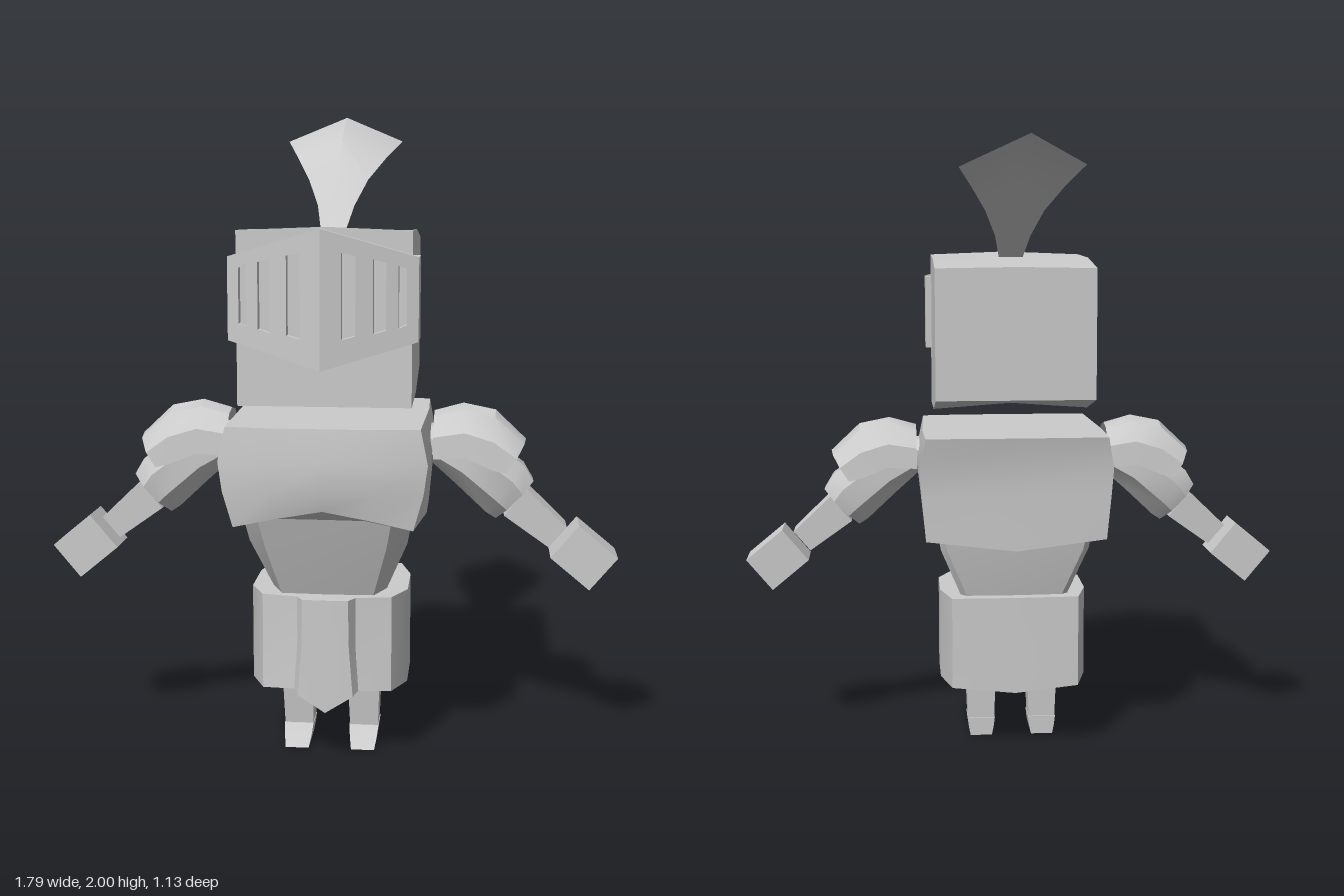
import * as THREE from 'three';
import { toCreasedNormals } from 'three/addons/utils/BufferGeometryUtils.js';

const material = new THREE.MeshStandardMaterial({ color: 0xcccccc, side: THREE.DoubleSide });

function mesh(geometry, name) {
  const m = new THREE.Mesh(toCreasedNormals(geometry, 0.5), material);
  m.name = name;
  return m;
}

// Skin a list of equal-length cross-sections; closed sections get end caps.
function loft(rings, name, closed = true) {
  const n = rings[0].length;
  const pos = rings.flat(2);
  const idx = [];
  for (let i = 0; i < rings.length - 1; i++) {
    for (let j = 0; j < (closed ? n : n - 1); j++) {
      const k = (j + 1) % n;
      const a = i * n + j, b = i * n + k, c = a + n, d = b + n;
      idx.push(c, d, b, c, b, a);
    }
  }
  if (closed) {
    [0, rings.length - 1].forEach((r, end) => {
      const mid = pos.length / 3;
      for (let q = 0; q < 3; q++) pos.push(rings[r].reduce((s, p) => s + p[q], 0) / n);
      for (let j = 0; j < n; j++) {
        const a = r * n + j, b = r * n + (j + 1) % n;
        if (end) idx.push(mid, b, a); else idx.push(mid, a, b);
      }
    });
  }
  const g = new THREE.BufferGeometry();
  g.setAttribute('position', new THREE.Float32BufferAttribute(pos, 3));
  g.setIndex(idx);
  return mesh(g, name);
}

// Complete a cross-section given from front centre, round the left side, to back centre.
function sym(half) {
  const other = half.slice(1, -1).reverse().map(([x, y, z]) => [-x, y, z]);
  return [...half, ...other];
}

// The same section drawn in towards its middle and moved to height y.
const inset = (half, s, y) => half.map(([x, , z]) => [x * s, y, 0.2 + (z - 0.2) * s]);

// Limb section between an upper and a lower point, with half depth d.
const ARM_Z = 0.19;
function limbRing(top, bottom, d, n) {
  const k = 1 / Math.cos(Math.PI / n);
  return Array.from({ length: n }, (_, i) => {
    const t = (i + 0.5) / n * Math.PI * 2;
    const u = (1 - Math.cos(t) * k) / 2;
    return [top[0] + (bottom[0] - top[0]) * u, top[1] + (bottom[1] - top[1]) * u, ARM_Z - Math.sin(t) * k * d];
  });
}

function createArm() {
  const arm = new THREE.Group();
  arm.add(loft([
    limbRing([0.31, 1.04], [0.31, 0.93], 0.08, 8),
    limbRing([0.46, 1.02], [0.39, 0.86], 0.1, 8),
    limbRing([0.6, 0.92], [0.485, 0.77], 0.085, 8),
    limbRing([0.63, 0.87], [0.515, 0.75], 0.07, 8),
  ], 'upperArm'));
  arm.add(loft([
    limbRing([0.61, 0.85], [0.54, 0.765], 0.058, 4),
    limbRing([0.735, 0.73], [0.68, 0.665], 0.05, 4),
  ], 'forearm'));
  const hand = mesh(new THREE.BoxGeometry(0.158, 0.135, 0.135), 'hand');
  hand.position.set(0.79, 0.637, ARM_Z);
  hand.rotation.z = -0.69;
  arm.add(hand);

  // Shoulder guard: an arched shell carried outwards and down
  const arch = [[0.12, 0], [0.115, 0.5], [0.06, 0.9], [0, 1], [-0.06, 0.9], [-0.115, 0.5], [-0.12, 0]];
  const stations = [
    [0.32, 1.085, 0.32, 0.95], [0.41, 1.11, 0.42, 0.955],
    [0.51, 1.09, 0.5, 0.92], [0.605, 1.0, 0.545, 0.91],
  ];
  arm.add(loft(stations.map(([tx, ty, bx, by]) =>
    arch.map(([z, u]) => [bx + (tx - bx) * u, by + (ty - by) * u, ARM_Z + z])), 'shoulderGuard', false));
  return arm;
}

function createLeg() {
  const section = (y, x0, x1, z0, z1) => [[x0, y, z1], [x1, y, z1], [x1, y, z0], [x0, y, z0]];
  const leg = new THREE.Group();
  leg.add(loft([section(0.2, 0.055, 0.155, 0.14, 0.25), section(0.062, 0.06, 0.15, 0.145, 0.235)], 'shin'));
  leg.add(loft([
    section(0.062, 0.058, 0.152, 0.14, 0.24),
    section(0.03, 0.062, 0.148, 0.14, 0.265),
    section(0, 0.068, 0.142, 0.14, 0.295),
  ], 'foot'));
  return leg;
}

// One half of the visor: a slotted plate swept back from the centre, and a cheek strap
function createVisorHalf() {
  const half = new THREE.Group();
  const plate = new THREE.Shape([[0, 1.25], [0.28, 1.33], [0.28, 1.575], [0, 1.658]].map(p => new THREE.Vector2(...p)));
  for (const [x0, x1, y0, y1] of [[0.06, 0.1, 1.34, 1.59], [0.15, 0.187, 1.355, 1.57], [0.222, 0.246, 1.37, 1.552]]) {
    plate.holes.push(new THREE.Path([[x0, y0], [x0, y1], [x1, y1 - 0.01], [x1, y0 + 0.01]].map(p => new THREE.Vector2(...p))));
  }
  const g = new THREE.ExtrudeGeometry(plate, { depth: 0.035, bevelEnabled: false });
  const p = g.attributes.position;
  for (let i = 0; i < p.count; i++) p.setZ(i, p.getZ(i) + 0.53 - 0.29 * p.getX(i));
  half.add(mesh(g, 'visorPlate'));
  const cheek = mesh(new THREE.BoxGeometry(0.025, 0.245, 0.11), 'visorCheek');
  cheek.position.set(0.2675, 1.4525, 0.415);
  half.add(cheek);
  return half;
}

export function createModel() {
  const model = new THREE.Group();

  // Helmet
  model.add(loft([
    sym([[0, 1.66, 0.45], [0.26, 1.65, 0.45], [0.26, 1.643, 0.17], [0.26, 1.613, -0.065], [0, 1.617, -0.065]]),
    sym([[0, 1.13, 0.45], [0.26, 1.13, 0.45], [0.26, 1.138, 0.17], [0.26, 1.19, -0.065], [0, 1.19, -0.065]]),
  ], 'helmet'));

  // Plume: a thin leaf with a raised spine; [half width, edge y, edge z, spine y, spine z]
  const plume = [
    [0.04, 1.645, 0.165, 1.645, 0.16], [0.058, 1.715, 0.08, 1.72, 0.08], [0.095, 1.795, 0, 1.81, -0.005],
    [0.145, 1.865, -0.12, 1.92, -0.11], [0.19, 1.92, -0.25, 2, -0.3], [0.18, 1.922, -0.4, 2, -0.43],
    [0.001, 2, -0.565, 2, -0.565],
  ];
  model.add(loft(plume.map(([w, ey, ez, sy, sz]) => [[-w, ey, ez], [0, sy, sz], [w, ey, ez]]), 'plume', false));

  // Breastplate, with its lower rim turned inwards
  const rim = [[0, 0.825, 0.51], [0.14, 0.8, 0.51], [0.27, 0.77, 0.5], [0.295, 0.735, 0.1], [0.295, 0.735, -0.09], [0, 0.7, -0.095]];
  model.add(loft([
    sym([[0, 1.075, 0.52], [0.15, 1.075, 0.52], [0.29, 1.075, 0.505], [0.3, 1.075, 0.1], [0.295, 1.075, -0.12], [0, 1.075, -0.125]]),
    sym([[0, 0.97, 0.533], [0.15, 0.97, 0.53], [0.312, 0.97, 0.51], [0.32, 0.97, 0.1], [0.315, 0.97, -0.098], [0, 0.97, -0.1]]),
    sym([[0, 0.88, 0.53], [0.15, 0.88, 0.527], [0.3, 0.88, 0.508], [0.31, 0.88, 0.1], [0.308, 0.88, -0.095], [0, 0.88, -0.097]]),
    sym(rim),
    sym(inset(rim, 0.85, 0.79)),
  ], 'breastplate'));

  // Waist
  const waist = (y, front, side, zf, zb) =>
    sym([[0, y, zf], [front, y, zf - 0.005], [side, y, zf - 0.09], [side, y, zb + 0.02], [side - 0.02, y, zb], [0, y, zb - 0.005]]);
  model.add(loft([
    waist(0.82, 0.21, 0.27, 0.47, -0.05),
    waist(0.69, 0.185, 0.245, 0.425, -0.03),
    waist(0.52, 0.14, 0.175, 0.36, 0.01),
  ], 'waist'));

  // Skirt with a pointed front panel and a shallow hollow underneath
  const skirtTop = [[0, 0.53, 0.432], [0.07, 0.53, 0.43], [0.09, 0.53, 0.395], [0.2, 0.53, 0.375],
    [0.245, 0.53, 0.28], [0.245, 0.53, 0.1], [0.21, 0.53, -0.03], [0, 0.53, -0.035]];
  const skirtMid = skirtTop.map(([x, , z]) => [x === 0.07 ? 0.073 : x, 0.38, z]);
  const skirtLow = [[0, 0.172, 0.435], [0.085, 0.225, 0.43], [0.1, 0.235, 0.4], [0.2, 0.23, 0.38],
    [0.245, 0.23, 0.28], [0.245, 0.228, 0.1], [0.21, 0.225, -0.03], [0, 0.205, -0.038]];
  model.add(loft([sym(skirtTop), sym(skirtMid), sym(skirtLow), sym(inset(skirtLow, 0.85, 0.26))], 'skirt'));

  // Mirrored parts
  for (const [side, s] of [['left', 1], ['right', -1]]) {
    for (const [part, make] of [['Arm', createArm], ['Leg', createLeg], ['Visor', createVisorHalf]]) {
      const g = make();
      g.name = side + part;
      g.scale.x = s;
      model.add(g);
    }
  }
  return model;
}
